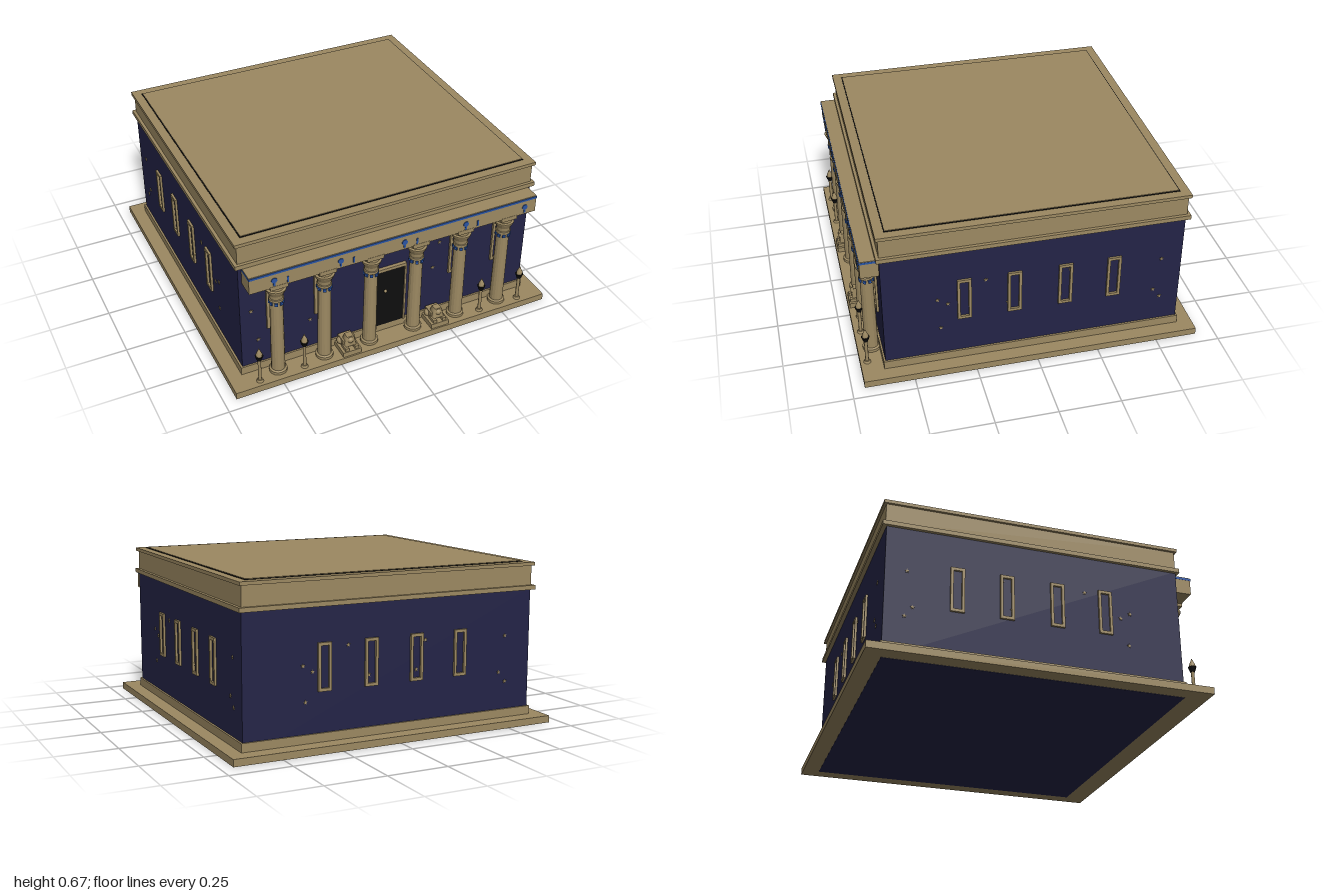
import * as THREE from 'three';

const mat = (name, hex, side = THREE.FrontSide) => {
  const m = new THREE.MeshStandardMaterial({ color: hex, side });
  m.name = name;
  return m;
};

export function createModel() {
  const model = new THREE.Group();
  model.name = 'temple';
  const stone = mat('sandstone', 0x9c8962);
  const navy = mat('night blue wall', 0x242447);
  const blue = mat('bright blue', 0x2a55a5);
  const black = mat('black', 0x0e0e0e);

  const add = (parent, name, geo, m, x = 0, y = 0, z = 0) => {
    const mesh = new THREE.Mesh(geo, m);
    mesh.name = name;
    mesh.position.set(x, y, z);
    parent.add(mesh);
    return mesh;
  };
  // box given by its extents
  const block = (parent, name, m, x0, x1, y0, y1, z0, z1) =>
    add(parent, name, new THREE.BoxGeometry(x1 - x0, y1 - y0, z1 - z0), m,
      (x0 + x1) / 2, (y0 + y1) / 2, (z0 + z1) / 2);
  const group = (name, x = 0, y = 0, z = 0) => {
    const g = new THREE.Group();
    g.name = name;
    g.position.set(x, y, z);
    model.add(g);
    return g;
  };

  // base and hall
  block(model, 'baseSlab', stone, -0.7, 0.7, 0.001, 0.03, -0.67, 0.7);
  block(model, 'hallWalls', navy, -0.635, 0.635, 0, 0.56, -0.6, 0.605);
  block(model, 'plinth', stone, -0.643, 0.643, 0.03, 0.065, -0.607, 0.612);

  // stepped cornice and roof
  block(model, 'lowerCornice', stone, -0.648, 0.648, 0.552, 0.57, -0.617, 0.617);
  block(model, 'parapet', stone, -0.635, 0.635, 0.57, 0.65, -0.604, 0.605);
  block(model, 'upperCornice', stone, -0.645, 0.645, 0.65, 0.664, -0.614, 0.614);
  block(model, 'roofSeam', black, -0.609, 0.609, 0.664, 0.666, -0.577, 0.577);
  block(model, 'roofSlab', stone, -0.605, 0.605, 0.664, 0.668, -0.573, 0.573);

  // framed windows and stars, laid out on each wall in its own plane
  const frame = new THREE.Shape();
  frame.moveTo(-0.028, -0.094).lineTo(0.028, -0.094).lineTo(0.028, 0.094).lineTo(-0.028, 0.094);
  const opening = new THREE.Path();
  opening.moveTo(-0.017, -0.082).lineTo(-0.017, 0.082).lineTo(0.017, 0.082).lineTo(0.017, -0.082);
  frame.holes.push(opening);
  const frameGeo = new THREE.ExtrudeGeometry(frame, { depth: 0.009, bevelEnabled: false });

  const starShape = new THREE.Shape();
  for (let i = 0; i < 10; i++) {
    const r = i % 2 ? 0.004 : 0.009, a = Math.PI / 2 + i * Math.PI / 5;
    starShape[i ? 'lineTo' : 'moveTo'](r * Math.cos(a), r * Math.sin(a));
  }
  const starGeo = new THREE.ExtrudeGeometry(starShape, { depth: 0.003, bevelEnabled: false });

  const sideStars = [[-0.2, 0.395], [-0.39, 0.33], [-0.35, 0.305], [-0.38, 0.19], [0.515, 0.37],
    [0.49, 0.22], [0.52, 0.18], [-0.11, 0.27], [0.14, 0.385], [0.1, 0.27]];
  const frontStars = [[-0.59, 0.33], [-0.44, 0.46], [-0.345, 0.2], [-0.055, 0.36], [0.225, 0.395],
    [0.2, 0.275], [0.535, 0.465], [-0.565, 0.18]];
  const walls = [
    ['right', 0.635, 0, Math.PI / 2, [-0.285, -0.085, 0.12, 0.318], sideStars],
    ['left', -0.635, 0, -Math.PI / 2, [-0.318, -0.12, 0.085, 0.285], sideStars.map(([u, y]) => [-u, y])],
    ['back', 0, -0.6, Math.PI, [-0.3, -0.1, 0.1, 0.3], sideStars],
    ['front', 0, 0.605, 0, [-0.5, -0.3, 0.3, 0.5], frontStars],
  ];
  for (const [name, x, z, turn, windows, stars] of walls) {
    const wall = group(name + 'WallDetails', x, 0, z);
    wall.rotation.y = turn;
    windows.forEach(u => add(wall, 'windowFrame', frameGeo, stone, u, 0.32, 0));
    stars.forEach(([u, y]) => add(wall, 'star', starGeo, stone, u, y, 0));
  }

  // double door
  const door = group('door');
  block(door, 'doorLeaves', black, -0.068, 0.066, 0.06, 0.34, 0.6, 0.613);
  block(door, 'lintel', stone, -0.074, 0.072, 0.338, 0.352, 0.6, 0.62);
  for (const s of [-1, 1]) block(door, 'jamb', stone, s * 0.071 - 0.004, s * 0.071 + 0.004, 0.06, 0.34, 0.6, 0.617);
  add(door, 'handle', new THREE.SphereGeometry(0.007, 10, 8), stone, -0.018, 0.235, 0.616);

  // columns with flared capitals
  const columnGeo = new THREE.LatheGeometry([
    [0, 0], [0.036, 0], [0.036, 0.014], [0.028, 0.018], [0.026, 0.36], [0.03, 0.362], [0.03, 0.372],
    [0.027, 0.374], [0.029, 0.39], [0.04, 0.412], [0.041, 0.418], [0.032, 0.42], [0.032, 0.45], [0, 0.45],
  ].map(([r, y]) => new THREE.Vector2(r, y)), 16).toNonIndexed();
  columnGeo.computeVertexNormals();
  for (let i = 0; i < 6; i++) {
    const c = group('column', -0.5 + i * 0.2, 0.028, 0.642);
    add(c, 'shaft', columnGeo, stone);
    for (let k = 0; k < 8; k++) {
      const a = k * Math.PI / 4 + Math.PI / 8;
      const bead = add(c, 'blueBead', new THREE.BoxGeometry(0.012, 0.012, 0.006), blue,
        0.028 * Math.sin(a), 0.352, 0.028 * Math.cos(a));
      bead.rotation.y = a;
    }
    block(c, 'abacus', stone, -0.036, 0.036, 0.434, 0.452, -0.036, 0.036);
  }

  // architrave with stripe and abstract painted ornaments
  const beam = group('architrave');
  block(beam, 'beam', stone, -0.62, 0.62, 0.475, 0.55, 0.6, 0.677);
  block(beam, 'blueStripe', blue, -0.621, 0.621, 0.538, 0.547, 0.6, 0.68);
  for (let i = 0; i < 5; i++) {
    const x = -0.52 + i * 0.272;
    const head = add(beam, 'ornamentHead', new THREE.CylinderGeometry(0.012, 0.012, 0.004, 10), blue, x, 0.509, 0.678);
    head.rotation.x = Math.PI / 2;
    block(beam, 'ornamentStem', blue, x - 0.004, x + 0.004, 0.484, 0.5, 0.676, 0.68);
    if (i < 4) block(beam, 'ornamentBar', blue, x + 0.051, x + 0.058, 0.485, 0.51, 0.676, 0.68);
  }

  // standing braziers
  const flame = new THREE.LatheGeometry([[0.012, 0], [0.013, 0.012], [0.005, 0.03], [0, 0.042]]
    .map(([r, y]) => new THREE.Vector2(r, y)), 10);
  for (const x of [-0.59, -0.4, 0.4, 0.585]) {
    const t = group('brazier', x, 0.03, 0.672);
    add(t, 'foot', new THREE.CylinderGeometry(0.011, 0.015, 0.01, 10), stone, 0, 0.005, 0);
    add(t, 'pole', new THREE.CylinderGeometry(0.007, 0.007, 0.11, 8), stone, 0, 0.06, 0);
    add(t, 'bowl', new THREE.CylinderGeometry(0.017, 0.009, 0.022, 12), black, 0, 0.119, 0);
    add(t, 'flame', flame, stone, 0, 0.127, 0);
  }

  // reclining guardian statues either side of the door
  for (const x of [-0.2, 0.2]) {
    const g = group('guardianStatue', x, 0.03, 0.65);
    block(g, 'pedestal', stone, -0.04, 0.04, 0, 0.022, -0.04, 0.044);
    block(g, 'body', stone, -0.027, 0.027, 0.022, 0.055, -0.038, 0.012);
    for (const s of [-1, 1]) {
      block(g, 'paw', stone, s * 0.021 - 0.008, s * 0.021 + 0.008, 0.022, 0.036, 0, 0.04);
      add(g, 'haunch', new THREE.SphereGeometry(0.016, 10, 8), stone, s * 0.024, 0.036, -0.02);
    }
    const hood = add(g, 'headdress', new THREE.CylinderGeometry(0.02, 0.032, 0.042, 4), stone, 0, 0.058, 0.008);
    hood.rotation.y = Math.PI / 4;
    add(g, 'head', new THREE.SphereGeometry(0.014, 12, 8), stone, 0, 0.062, 0.02);
  }
  return model;
}
